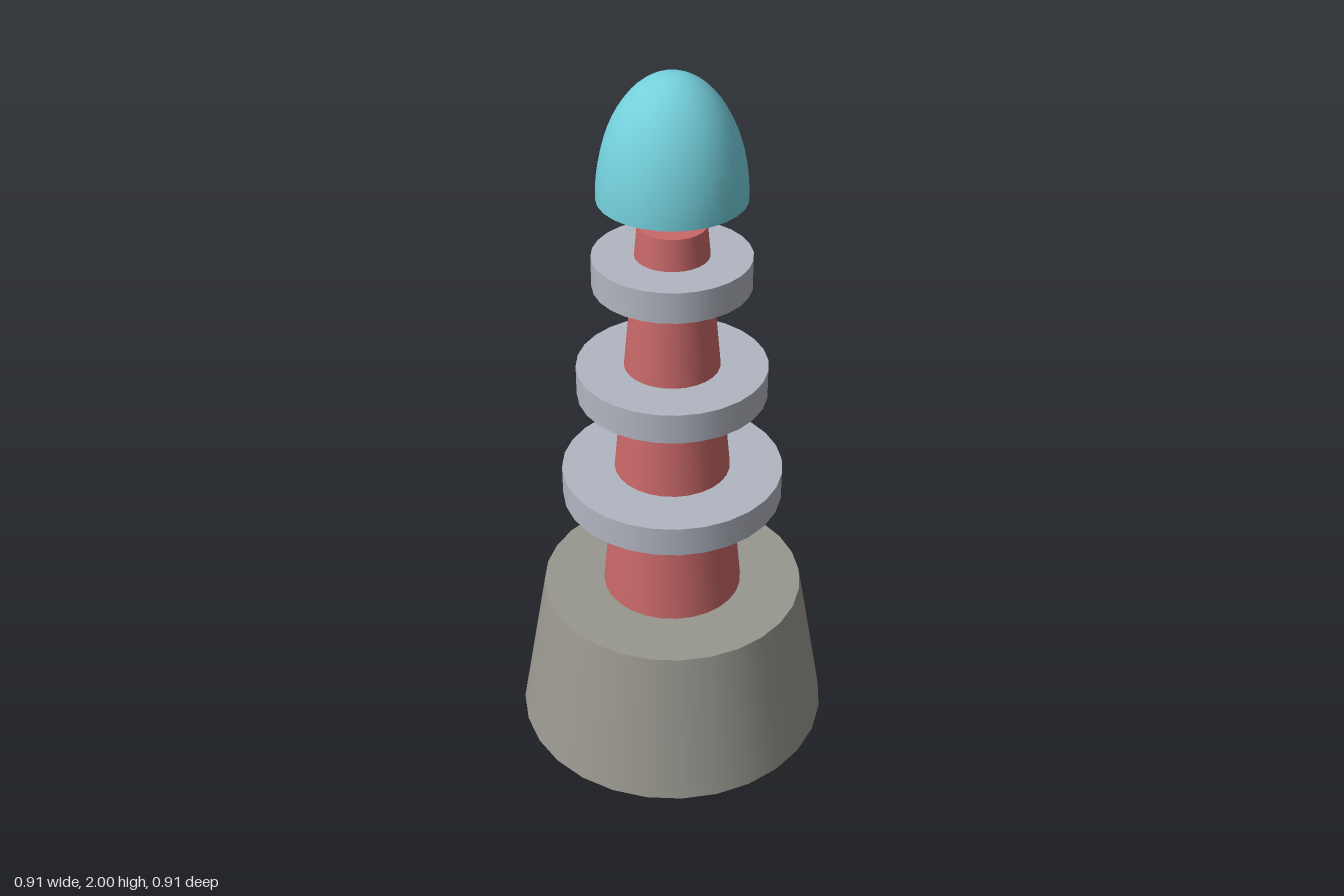
import * as THREE from 'three';

const SIDES = 28;

function material(name, color) {
  const m = new THREE.MeshStandardMaterial({ color });
  m.name = name;
  return m;
}

export function createModel() {
  const stone = material('warm grey', 0x99978f);
  const red = material('soft red', 0xc96868);
  const metal = material('pale blue grey', 0xb2b6c1);
  const cyan = material('cyan', 0x74d0dc);
  cyan.side = THREE.DoubleSide; // the dome is an open shell

  const model = new THREE.Group();
  model.name = 'ringedTower';

  function drum(name, topRadius, bottomRadius, bottom, top, mat) {
    const geometry = new THREE.CylinderGeometry(topRadius, bottomRadius, top - bottom, SIDES);
    const mesh = new THREE.Mesh(geometry, mat);
    mesh.name = name;
    mesh.position.y = (bottom + top) / 2;
    model.add(mesh);
  }

  // Tapered foundation and column
  drum('base', 0.375, 0.455, 0, 0.455, stone);
  drum('column', 0.091, 0.2, 0.455, 1.598, red);

  // Three collars, shrinking upwards
  [0.309, 0.26, 0.211].forEach((radius, i) => {
    const y = 0.813 + i * 0.328;
    drum('collar' + (i + 1), radius, radius, y - 0.043, y + 0.043, metal);
  });

  // Tall open dome floating just above the column
  const dome = new THREE.Mesh(
    new THREE.SphereGeometry(0.195, SIDES, 16, 0, Math.PI * 2, 0, Math.PI / 2), cyan);
  dome.name = 'dome';
  dome.scale.y = 0.327 / 0.195;
  dome.position.y = 1.673;
  model.add(dome);

  return model;
}
